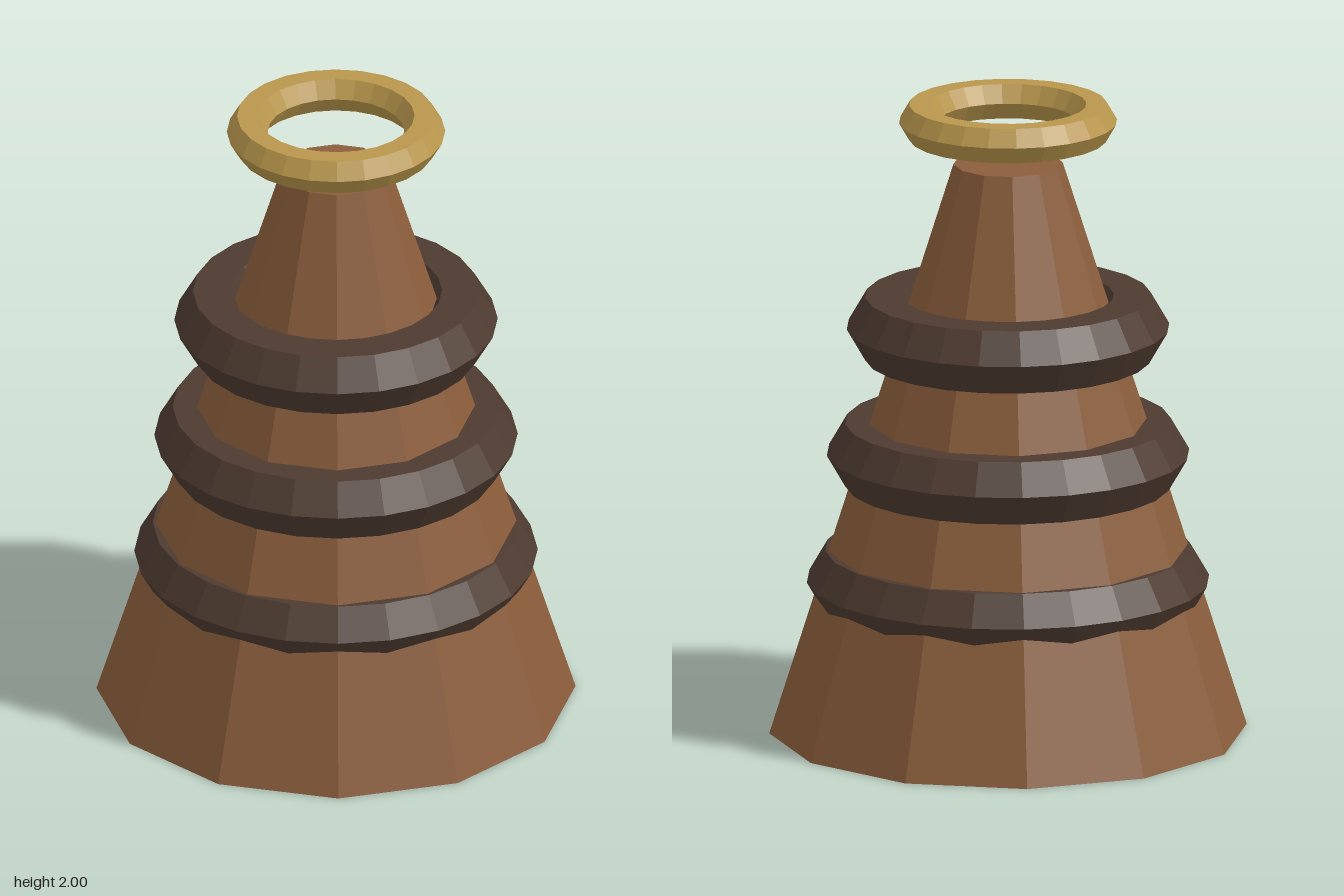
import * as THREE from 'three';

const material = (name, color) => {
  const m = new THREE.MeshStandardMaterial({ color, flatShading: true });
  m.name = name;
  return m;
};

export function createModel() {
  const group = new THREE.Group();
  group.name = 'ringedCone';
  const clay = material('clayBrown', 0x8b5e3c);
  const dark = material('darkBrown', 0x4e3b31);
  const gold = material('gold', 0xb8964c);

  const add = (name, geometry, mat, y) => {
    const mesh = new THREE.Mesh(geometry, mat);
    mesh.name = name;
    mesh.position.y = y;
    group.add(mesh);
  };

  // Horizontal ring with a hexagonal section, flat on top and bottom
  const ring = (radius, tube) =>
    new THREE.TorusGeometry(radius, tube, 6, 24).rotateX(Math.PI / 2);

  // Twelve-sided tapered body
  add('body', new THREE.CylinderGeometry(0.17, 0.742, 1.81, 12), clay, 0.905);

  // Dark bands, growing towards the base
  const bands = [['lowerBand', 0.51, 0.48], ['middleBand', 0.448, 0.885], ['upperBand', 0.386, 1.288]];
  for (const [name, radius, y] of bands) add(name, ring(radius, 0.115), dark, y);

  // Floating gold ring above the tip
  add('halo', ring(0.275, 0.0635), gold, 1.945);

  return group;
}
